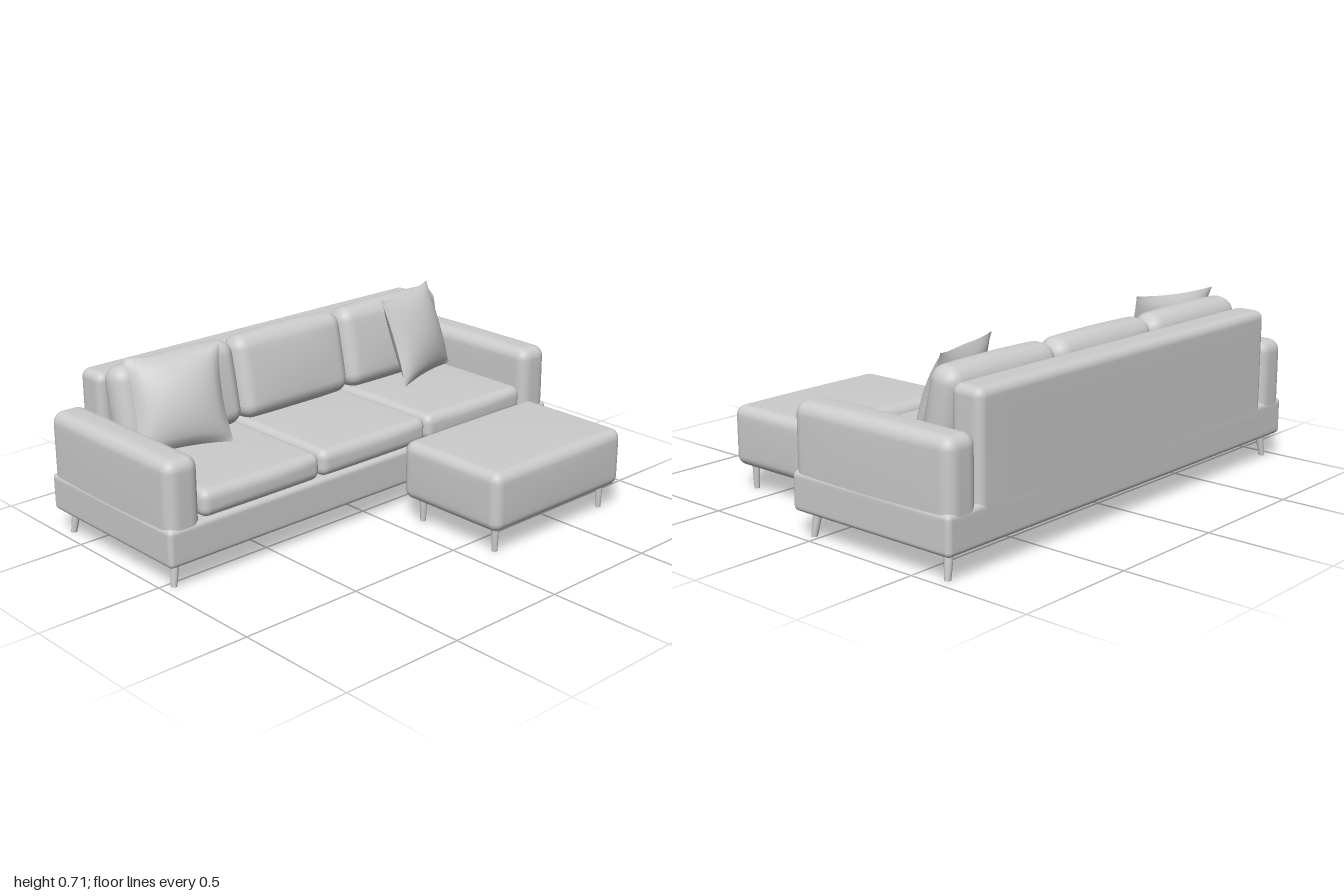
import * as THREE from 'three';
import { mergeVertices, mergeGeometries } from 'three/addons/utils/BufferGeometryUtils.js';

// Rounded box from low to high corner, with faces swollen by "puff" [x, y, z]
function softBox(w, h, d, r, puff = [0, 0, 0]) {
  const n = 16, edge = 4;
  const g = new THREE.BoxGeometry(2, 2, 2, n, n, n);
  g.deleteAttribute('uv');
  g.deleteAttribute('normal');
  const half = [w / 2, h / 2, d / 2];
  const pos = g.attributes.position;
  const spread = (t, a) => {
    const k = 1 - (2 * edge) / n, s = Math.abs(t);
    const out = s <= k ? (s / k) * (a - r) : a - r + ((s - k) / (1 - k)) * r;
    return Math.sign(t) * out;
  };
  for (let i = 0; i < pos.count; i++) {
    const p = half.map((a, k) => spread(pos.getComponent(i, k), a));
    const c = p.map((v, k) => THREE.MathUtils.clamp(v, r - half[k], half[k] - r));
    const dir = new THREE.Vector3(p[0] - c[0], p[1] - c[1], p[2] - c[2]).normalize().multiplyScalar(r);
    const q = [c[0] + dir.x, c[1] + dir.y, c[2] + dir.z];
    const f = q.map((v, k) => 1 - (v / half[k]) ** 2);
    q.forEach((v, k) => {
      const swell = puff[k] * f[(k + 1) % 3] * f[(k + 2) % 3];
      pos.setComponent(i, k, v + (v / half[k]) * swell);
    });
  }
  const merged = mergeVertices(g, 1e-5);
  merged.computeVertexNormals();
  return merged;
}

// Square throw pillow: two domed faces meeting in a sharp, drawn-in seam
function pillowGeometry(w, h, thick) {
  const sides = [0, Math.PI].map((turn) => {
    const g = new THREE.PlaneGeometry(2, 2, 18, 18);
    const pos = g.attributes.position;
    for (let i = 0; i < pos.count; i++) {
      const u = pos.getX(i), v = pos.getY(i);
      const fu = 1 - u * u, fv = 1 - v * v;
      pos.setXYZ(i, u * (w / 2) * (1 - 0.09 * fv), v * (h / 2) * (1 - 0.07 * fu),
        thick / 2 * Math.pow(Math.max(fu * fv, 0), 0.6));
    }
    g.computeVertexNormals();
    return g.rotateY(turn);
  });
  return mergeGeometries(sides);
}

export function createModel() {
  const model = new THREE.Group();
  const fabric = new THREE.MeshStandardMaterial({ color: 0xcccccc });
  fabric.name = 'light grey';

  function add(parent, name, geometry, x, y, z) {
    const mesh = new THREE.Mesh(geometry, fabric);
    mesh.name = name;
    mesh.position.set(x, y, z);
    parent.add(mesh);
    return mesh;
  }
  function box(parent, name, lo, hi, r, puff) {
    const s = hi.map((v, i) => v - lo[i]);
    const c = hi.map((v, i) => (v + lo[i]) / 2);
    return add(parent, name, softBox(...s, r, puff), ...c);
  }
  // Tapered leg leaning from its top to its foot
  function leg(parent, x, z, dx, dz, rTop, rFoot) {
    const g = new THREE.CylinderGeometry(rTop, rFoot, 0.12, 16);
    const pos = g.attributes.position;
    for (let i = 0; i < pos.count; i++) {
      const t = 0.5 - pos.getY(i) / 0.12;
      pos.setX(i, pos.getX(i) + dx * t);
      pos.setZ(i, pos.getZ(i) + dz * t);
    }
    g.computeVertexNormals();
    add(parent, 'leg', g, x, 0.06, z);
  }

  // Sofa frame
  const sofa = new THREE.Group();
  sofa.name = 'sofa';
  model.add(sofa);
  box(sofa, 'base', [-1, 0.095, -0.672], [1, 0.245, 0.083], 0.02);
  box(sofa, 'backrest', [-0.85, 0.14, -0.672], [0.85, 0.635, -0.535], 0.035);
  for (const s of [-1, 1]) {
    const arm = box(sofa, s > 0 ? 'leftArm' : 'rightArm',
      [0.85, 0.13, -0.67], [0.995, 0.495, 0.078], 0.045, [0.004, 0.004, 0.002]);
    arm.position.x *= s;
    leg(sofa, s * 0.933, 0.016, s * 0.018, 0.01, 0.019, 0.012);
    leg(sofa, s * 0.933, -0.61, s * 0.018, -0.01, 0.019, 0.012);
  }

  // Seat and back cushions
  for (const i of [-1, 0, 1]) {
    const x = i * 0.563;
    box(sofa, 'seatCushion', [x - 0.279, 0.24, -0.54], [x + 0.279, 0.348, 0.076],
      0.035, [0, 0.006, 0.008]);
    const back = add(sofa, 'backCushion', softBox(0.556, 0.335, 0.13, 0.055, [0.004, 0.008, 0.014]),
      x, 0.508, -0.458);
    back.rotation.x = -0.2;
  }

  // Throw pillows
  for (const s of [-1, 1]) {
    const pillow = add(sofa, 'throwPillow', pillowGeometry(0.385, 0.375, 0.14),
      s * 0.628, 0.533, -0.34);
    pillow.rotation.set(-0.33, s * 0.27, 0, 'YXZ');
  }

  // Ottoman
  const ottoman = new THREE.Group();
  ottoman.name = 'ottoman';
  model.add(ottoman);
  box(ottoman, 'ottomanSeat', [0.053, 0.097, 0.167], [0.782, 0.335, 0.665],
    0.04, [0.004, 0.006, 0.005]);
  for (const x of [0.112, 0.723]) {
    for (const z of [0.228, 0.608]) {
      leg(ottoman, x, z, 0, 0, 0.016, 0.011);
    }
  }
  return model;
}
